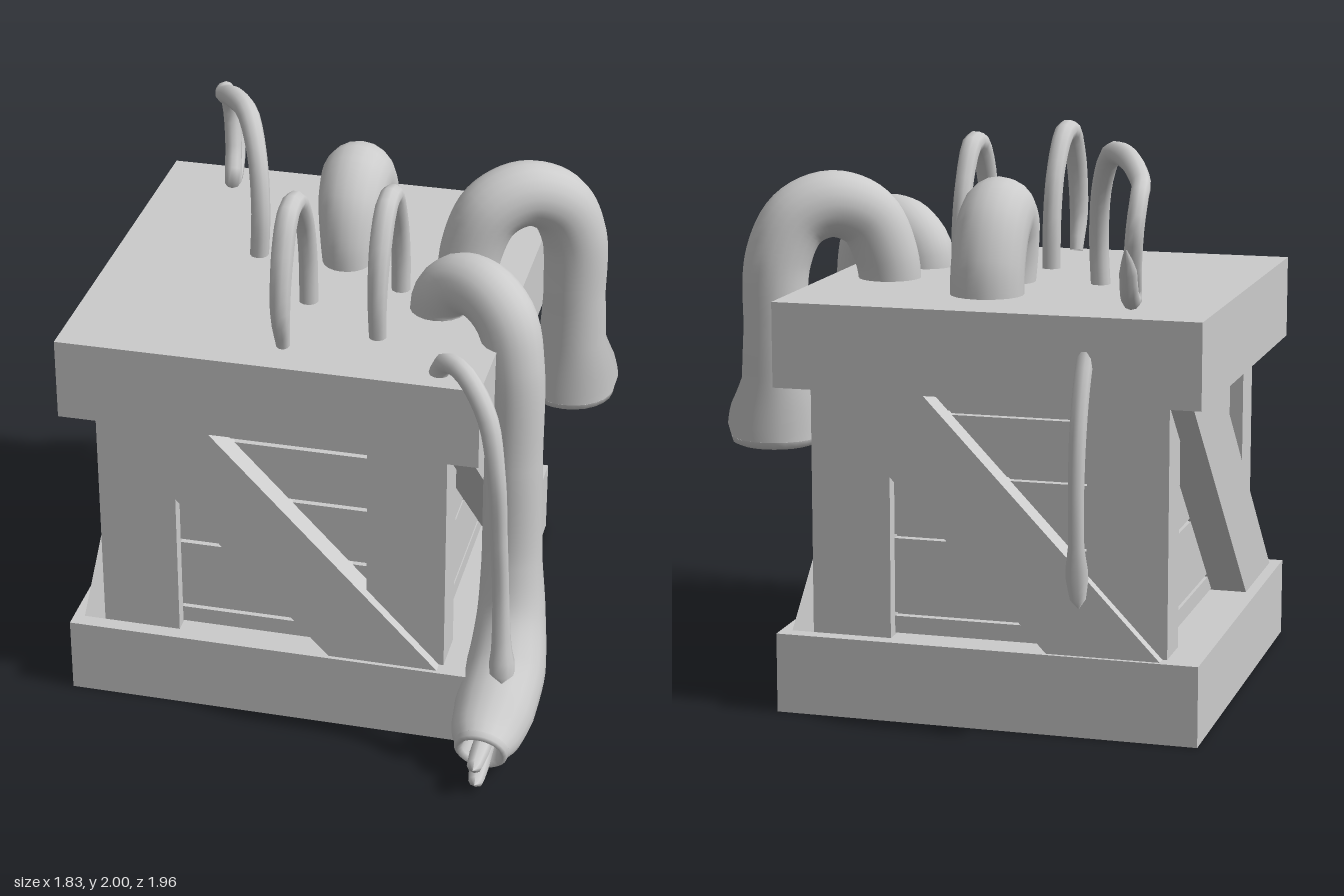
import * as THREE from 'three';

const mat = new THREE.MeshStandardMaterial({ color: 0xcccccc, side: THREE.DoubleSide });
const CX = -0.157, CZ = -0.1;      // crate centre
const HX = 0.637, HZ = 0.7;        // half size of the crate body at the posts
const Y0 = 0.285, Y1 = 1.165;      // body between the two slabs

function add(parent, name, geo, x = 0, y = 0, z = 0) {
  const m = new THREE.Mesh(geo, mat);
  m.name = name;
  m.position.set(x, y, z);
  parent.add(m);
  return m;
}

// Planks and diagonal brace of one wall, facing +z before it is turned
function wall(halfW, depth, postW, braceOut, braceTop, angle) {
  const g = new THREE.Group();
  g.name = 'crateWall';
  const cuts = [Y0, 0.36, 0.64, 0.87, 1.09, Y1];
  for (let i = 0; i < cuts.length - 1; i++) {
    const h = cuts[i + 1] - cuts[i] - 0.014;
    add(g, 'plank', new THREE.BoxGeometry(2 * (halfW - postW) + 0.02, h, 0.04),
      0, (cuts[i] + cuts[i + 1]) / 2, depth - 0.07);
  }
  const [a, b] = braceTop;
  const s = new THREE.Shape([[a, Y1], [-b, Y1], [-a, Y0], [b, Y0]].map(p => new THREE.Vector2(...p)));
  const t = braceOut + 0.06;
  add(g, 'diagonalBrace', new THREE.ExtrudeGeometry(s, { depth: t, bevelEnabled: false }), 0, 0, depth - 0.06);
  g.rotation.y = angle;
  return g;
}

// Tube whose radius follows the control points; each point is [x, y, z, radius]
function taperedTube(parent, name, pts, segs, sides) {
  const curve = new THREE.CatmullRomCurve3(pts.map(p => new THREE.Vector3(p[0], p[1], p[2])));
  const geo = new THREE.TubeGeometry(curve, segs, 1, sides, false);
  const pos = geo.attributes.position, v = new THREE.Vector3();
  for (let i = 0; i <= segs; i++) {
    const c = curve.getPointAt(i / segs);
    const f = curve.getUtoTmapping(i / segs) * (pts.length - 1);
    const k = Math.min(Math.floor(f), pts.length - 2);
    const r = THREE.MathUtils.lerp(pts[k][3], pts[k + 1][3], f - k);
    for (let j = 0; j <= sides; j++) {
      const n = i * (sides + 1) + j;
      v.fromBufferAttribute(pos, n).sub(c).multiplyScalar(r).add(c);
      pos.setXYZ(n, v.x, v.y, v.z);
    }
  }
  add(parent, name, geo);
  return { end: curve.getPointAt(1), dir: curve.getTangentAt(1) };
}

// Rounded lip with a hollow behind it, at the open end of a thick tentacle
function mouth(parent, { end, dir }, r, hole) {
  const profile = [[r, 0], [r * 0.97, 0.02], [(r + hole) / 2, 0.03], [hole, 0.012],
    [hole * 0.9, -0.04], [hole * 0.7, -0.09], [0, -0.1]].map(p => new THREE.Vector2(...p));
  const m = add(parent, 'mouth', new THREE.LatheGeometry(profile, 24), end.x, end.y, end.z);
  m.quaternion.setFromUnitVectors(new THREE.Vector3(0, 1, 0), dir);
}

export function createModel() {
  const model = new THREE.Group();

  // Crate
  const crate = new THREE.Group();
  crate.name = 'crate';
  crate.position.set(CX, 0, CZ);
  model.add(crate);
  add(crate, 'bottomSlab', new THREE.BoxGeometry(1.514, Y0, 1.51), 0, Y0 / 2, 0);
  add(crate, 'topSlab', new THREE.BoxGeometry(1.514, 0.3, 1.51), 0, Y1 + 0.15, 0);
  add(crate, 'core', new THREE.BoxGeometry(2 * HX - 0.16, Y1 - Y0, 2 * HZ - 0.16), 0, (Y0 + Y1) / 2, 0);
  for (const sx of [-1, 1]) for (const sz of [-1, 1]) {
    add(crate, 'cornerPost', new THREE.BoxGeometry(0.285, Y1 - Y0, 0.165),
      sx * (HX - 0.1425), (Y0 + Y1) / 2, sz * (HZ - 0.0825));
  }
  for (const turn of [0, Math.PI]) {
    crate.add(wall(HX, HZ, 0.285, 0.04, [-0.62, 0.22], turn));
    crate.add(wall(HZ, HX, 0.165, 0.08, [-0.7, 0.25], turn + Math.PI / 2));
  }

  // Thick tentacle hanging over the front corner, with a clawed mouth
  const clawed = new THREE.Group();
  clawed.name = 'clawedTentacle';
  model.add(clawed);
  const tipA = taperedTube(clawed, 'tentacleBody', [
    [0.335, 1.4, 0.085, 0.105], [0.35, 1.52, 0.1, 0.105], [0.42, 1.59, 0.13, 0.11],
    [0.52, 1.6, 0.19, 0.11], [0.61, 1.53, 0.25, 0.11], [0.65, 1.38, 0.285, 0.105],
    [0.66, 1, 0.305, 0.105], [0.67, 0.6, 0.325, 0.11], [0.685, 0.4, 0.39, 0.125],
    [0.695, 0.26, 0.53, 0.145], [0.685, 0.18, 0.69, 0.145], [0.672, 0.135, 0.79, 0.125],
    [0.67, 0.12, 0.83, 0.1]], 70, 20);
  mouth(clawed, tipA, 0.1, 0.07);
  for (const [y0, y1, z1] of [[0.12, 0.13, 0.985], [0.085, 0.04, 0.95]]) {
    taperedTube(clawed, 'claw', [[0.67, y0, 0.76, 0.035], [0.67, (y0 + y1) / 2, 0.87, 0.035],
      [0.67, y1, z1 - 0.02, 0.027], [0.67, y1, z1, 0.002]], 10, 8);
  }

  // Thick tentacle hanging over the side, with a flared mouth
  const flared = new THREE.Group();
  flared.name = 'flaredTentacle';
  model.add(flared);
  const tipB = taperedTube(flared, 'tentacleBody', [
    [0.375, 1.38, -0.21, 0.11], [0.39, 1.55, -0.23, 0.115], [0.45, 1.69, -0.265, 0.12],
    [0.56, 1.74, -0.33, 0.12], [0.67, 1.69, -0.39, 0.12], [0.73, 1.55, -0.43, 0.12],
    [0.74, 1.3, -0.44, 0.115], [0.74, 1.12, -0.44, 0.125], [0.74, 1.02, -0.44, 0.168],
    [0.74, 0.96, -0.44, 0.178], [0.74, 0.91, -0.44, 0.165]], 60, 20);
  mouth(flared, tipB, 0.165, 0.11);

  // Thick arch in the middle of the lid
  taperedTube(model, 'archTentacle', [
    [-0.065, 1.38, -0.49, 0.13], [-0.065, 1.56, -0.475, 0.13], [-0.065, 1.69, -0.41, 0.13],
    [-0.065, 1.73, -0.33, 0.13], [-0.065, 1.67, -0.24, 0.12], [-0.065, 1.55, -0.19, 0.1],
    [-0.065, 1.38, -0.18, 0.08]], 36, 20);

  // Thin feelers
  const feelers = {
    frontArchFeeler: [[-0.125, 1.4, 0.15, 0.035], [-0.125, 1.66, 0.16, 0.035], [-0.125, 1.82, 0.21, 0.035],
      [-0.125, 1.94, 0.32, 0.038], [-0.125, 1.94, 0.43, 0.04], [-0.125, 1.82, 0.51, 0.04],
      [-0.125, 1.62, 0.55, 0.036], [-0.125, 1.48, 0.515, 0.025]],
    middleArchFeeler: [[0.175, 1.4, -0.015, 0.035], [0.175, 1.62, -0.01, 0.035], [0.175, 1.79, 0.04, 0.035],
      [0.175, 1.91, 0.13, 0.038], [0.175, 1.91, 0.23, 0.04], [0.175, 1.8, 0.32, 0.04],
      [0.175, 1.62, 0.365, 0.035], [0.175, 1.4, 0.35, 0.03]],
    curledFeeler: [[-0.395, 1.4, -0.16, 0.035], [-0.385, 1.64, -0.165, 0.035], [-0.41, 1.83, -0.22, 0.036],
      [-0.47, 1.95, -0.32, 0.04], [-0.56, 1.95, -0.45, 0.04], [-0.64, 1.89, -0.6, 0.034],
      [-0.66, 1.86, -0.7, 0.032], [-0.66, 1.76, -0.76, 0.032], [-0.645, 1.62, -0.73, 0.032],
      [-0.63, 1.5, -0.66, 0.032], [-0.645, 1.53, -0.77, 0.032], [-0.655, 1.63, -0.84, 0.03],
      [-0.655, 1.7, -0.875, 0.004]],
    hangingFrontFeeler: [[0.43, 1.44, 0.55, 0.035], [0.46, 1.52, 0.58, 0.035], [0.54, 1.53, 0.65, 0.036],
      [0.64, 1.42, 0.735, 0.036], [0.685, 1.22, 0.775, 0.032], [0.7, 0.95, 0.765, 0.03],
      [0.71, 0.7, 0.755, 0.03], [0.72, 0.53, 0.775, 0.035], [0.728, 0.45, 0.795, 0.05],
      [0.73, 0.4, 0.8, 0.035], [0.73, 0.385, 0.8, 0.003]],
    hangingBackFeeler: [[-0.51, 1.35, -0.82, 0.03], [-0.51, 1.24, -0.88, 0.03], [-0.51, 1.08, -0.93, 0.03],
      [-0.51, 0.88, -0.95, 0.028], [-0.51, 0.7, -0.945, 0.028], [-0.51, 0.6, -0.935, 0.042],
      [-0.51, 0.51, -0.92, 0.028], [-0.51, 0.475, -0.91, 0.003]],
  };
  for (const [name, pts] of Object.entries(feelers)) taperedTube(model, name, pts, pts.length * 3, 10);

  return model;
}
